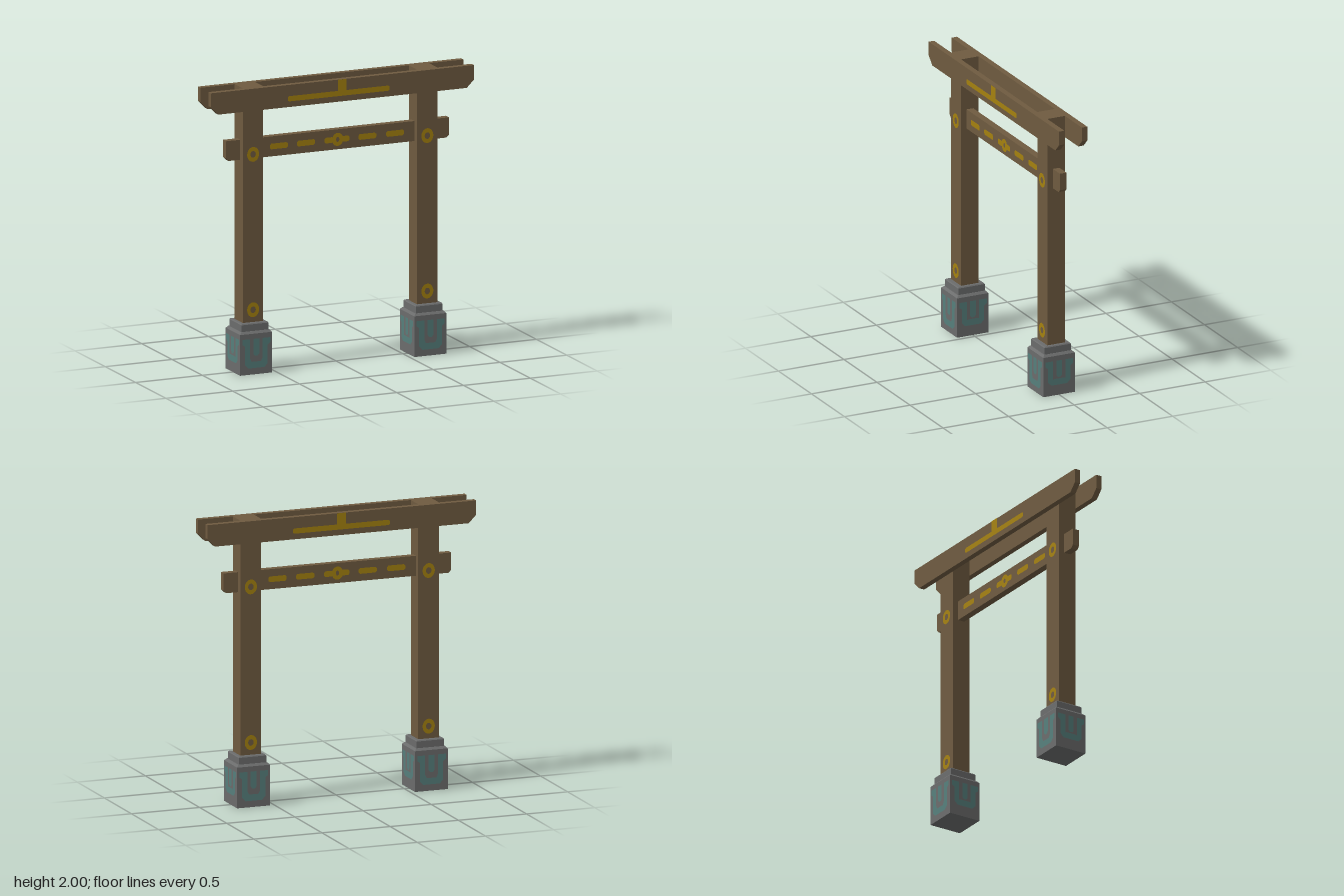
import * as THREE from 'three';

const material = (name, color) => {
  const m = new THREE.MeshStandardMaterial({ color });
  m.name = name;
  return m;
};

export function createModel() {
  const wood = material('brown wood', 0x6f5b40);
  const gold = material('gold inlay', 0xa5820f);
  const stone = material('grey stone', 0x6b6c6c);
  const teal = material('teal carving', 0x567f7c);
  const model = new THREE.Group();
  model.name = 'gate';

  const add = (parent, name, geometry, mat, x = 0, y = 0, z = 0, turn = 0) => {
    const mesh = new THREE.Mesh(geometry, mat);
    mesh.name = name;
    mesh.position.set(x, y, z);
    mesh.rotation.y = turn;
    parent.add(mesh);
    return mesh;
  };
  const polygon = (points) => new THREE.Shape(points.map(([x, y]) => new THREE.Vector2(x, y)));
  const face = (shapes) => new THREE.ShapeGeometry(shapes, 12);

  // Beam along x with its lower end corners cut off
  const beam = (half, low, high, depth, cut) => {
    const shape = polygon([
      [-half + cut, low], [half - cut, low], [half, low + cut],
      [half, high], [-half, high], [-half, low + cut],
    ]);
    const g = new THREE.ExtrudeGeometry(shape, { depth, bevelEnabled: false });
    return g.translate(0, 0, -depth / 2);
  };

  // Oval with an oval hole
  const oval = (rx, ry, hx, hy) => {
    const s = new THREE.Shape().absellipse(0, 0, rx, ry, 0, Math.PI * 2);
    s.holes.push(new THREE.Path().absellipse(0, 0, hx, hy, 0, Math.PI * 2, true));
    return s;
  };

  // Flat bar with cut corners
  const dash = (x, half, h) => polygon([
    [x - half, -h * 0.5], [x - half + h * 0.5, -h], [x + half - h * 0.5, -h], [x + half, -h * 0.5],
    [x + half, h * 0.5], [x + half - h * 0.5, h], [x - half + h * 0.5, h], [x - half, h * 0.5],
  ]);

  // Beams
  for (const side of [1, -1]) {
    add(model, side > 0 ? 'frontTopBeam' : 'backTopBeam',
      beam(0.985, 1.845, 2, 0.041, 0.055), wood, 0, 0, side * 0.0875);
  }
  add(model, 'crossBeam', beam(0.835, 1.49, 1.63, 0.05, 0.02), wood);

  // Stepped square footing
  const profile = [[0, 0], [0.12, 0], [0.12, 0.285], [0.106, 0.3], [0.101, 0.3], [0.101, 0.347], [0.096, 0.354], [0, 0.354]];
  const footing = new THREE.LatheGeometry(
    profile.map(([r, y]) => new THREE.Vector2(r * Math.SQRT2, y)), 4, Math.PI / 4).toNonIndexed();
  footing.computeVertexNormals();

  // Carved cup outline with hooked rims and a tongue in the middle
  const carving = (low) => {
    const right = [
      [0.06, low], [0.085, low + 0.025], [0.085, 0.2], [0.105, 0.215], [0.105, 0.25], [0.047, 0.25],
      [0.047, 0.115], [0.035, low + 0.045],
    ];
    const left = right.map(([x, y]) => [-x, y]).reverse();
    const tongue = [[-0.022, 0.25], [-0.022, 0.145], [-0.01, 0.13], [0.01, 0.13], [0.022, 0.145], [0.022, 0.25]];
    return face([polygon([...right, ...left]), polygon(tongue)]);
  };
  const frontCarving = carving(0.045);
  const sideCarving = carving(0.075);

  // Posts on their footings
  for (const side of [-1, 1]) {
    const post = new THREE.Group();
    post.name = side > 0 ? 'leftPost' : 'rightPost';
    post.position.x = side * 0.652;
    model.add(post);
    add(post, 'shaft', new THREE.BoxGeometry(0.152, 1.65, 0.134), wood, 0, 1.175, 0);
    add(post, 'footing', footing, stone);
    for (let i = 0; i < 4; i++) {
      const turn = i * Math.PI / 2;
      add(post, 'footingCarving', i % 2 ? sideCarving : frontCarving, teal,
        Math.sin(turn) * 0.123, 0, Math.cos(turn) * 0.123, turn);
    }
    for (const z of [1, -1]) {
      for (const y of [0.44, 1.53]) {
        add(post, 'ringInlay', face(oval(0.045, 0.052, 0.02, 0.023)), gold,
          0, y, z * 0.07, z > 0 ? 0 : Math.PI);
      }
    }
  }

  // Gold inlays of the beams, front and back
  for (const z of [1, -1]) {
    const turn = z > 0 ? 0 : Math.PI;
    const start = z > 0 ? -0.41 : -0.36;
    const tee = polygon([
      [start, 1.892], [start + 0.01, 1.885], [0.34, 1.885], [0.35, 1.892], [0.35, 1.915], [0.34, 1.922],
      [0.03, 1.922], [0.03, 2], [-0.037, 2], [-0.037, 1.922], [start + 0.01, 1.922], [start, 1.915],
    ]);
    add(model, 'topBeamInlay', face(tee), gold, 0, 0, z * 0.111, turn);

    const dashes = [-0.44, -0.237, 0.222, 0.43].map((x) => dash(x, 0.067, 0.02));
    add(model, 'dashInlays', face(dashes), gold, 0, 1.56, z * 0.028, turn);

    const medallion = [oval(0.042, 0.046, 0.012, 0.017), dash(-0.065, 0.033, 0.02), dash(0.055, 0.033, 0.02)];
    add(model, 'medallionInlay', face(medallion), gold, 0, 1.56, z * 0.028, turn);
  }

  return model;
}
